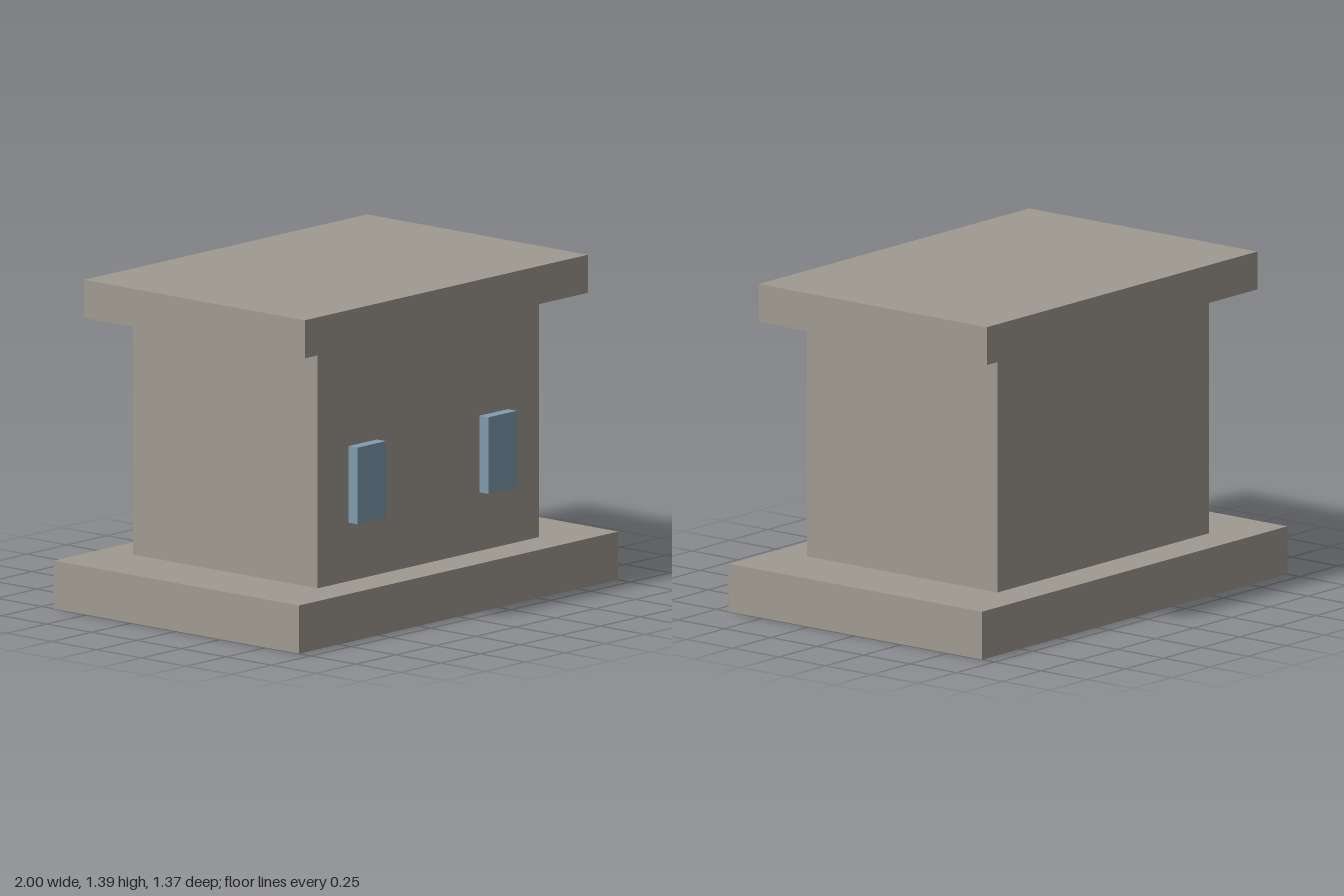
import * as THREE from 'three';

export function createModel() {
  const model = new THREE.Group();
  model.name = 'blockHouse';

  const stone = new THREE.MeshStandardMaterial({ color: 0xa09a91 });
  stone.name = 'stone';
  const glass = new THREE.MeshStandardMaterial({ color: 0x809bb0 });
  glass.name = 'blueGlass';

  // Box given by its size, its bottom height and its centre in x and z
  function addBox(name, material, [w, h, d], bottom, x = 0, z = 0) {
    const mesh = new THREE.Mesh(new THREE.BoxGeometry(w, h, d), material);
    mesh.name = name;
    mesh.position.set(x, bottom + h / 2, z);
    model.add(mesh);
  }

  // Base slab, walls and the flat roof floating just above them
  addBox('base', stone, [2, 0.205, 1.366], 0);
  addBox('walls', stone, [1.386, 1, 1.028], 0.206);
  addBox('roof', stone, [1.772, 0.162, 1.23], 1.229);

  // Pair of windows standing out from the front wall
  for (const [name, side] of [['leftWindow', 1], ['rightWindow', -1]]) {
    addBox(name, glass, [0.178, 0.326, 0.05], 0.455, side * 0.41, 0.539);
  }

  return model;
}
